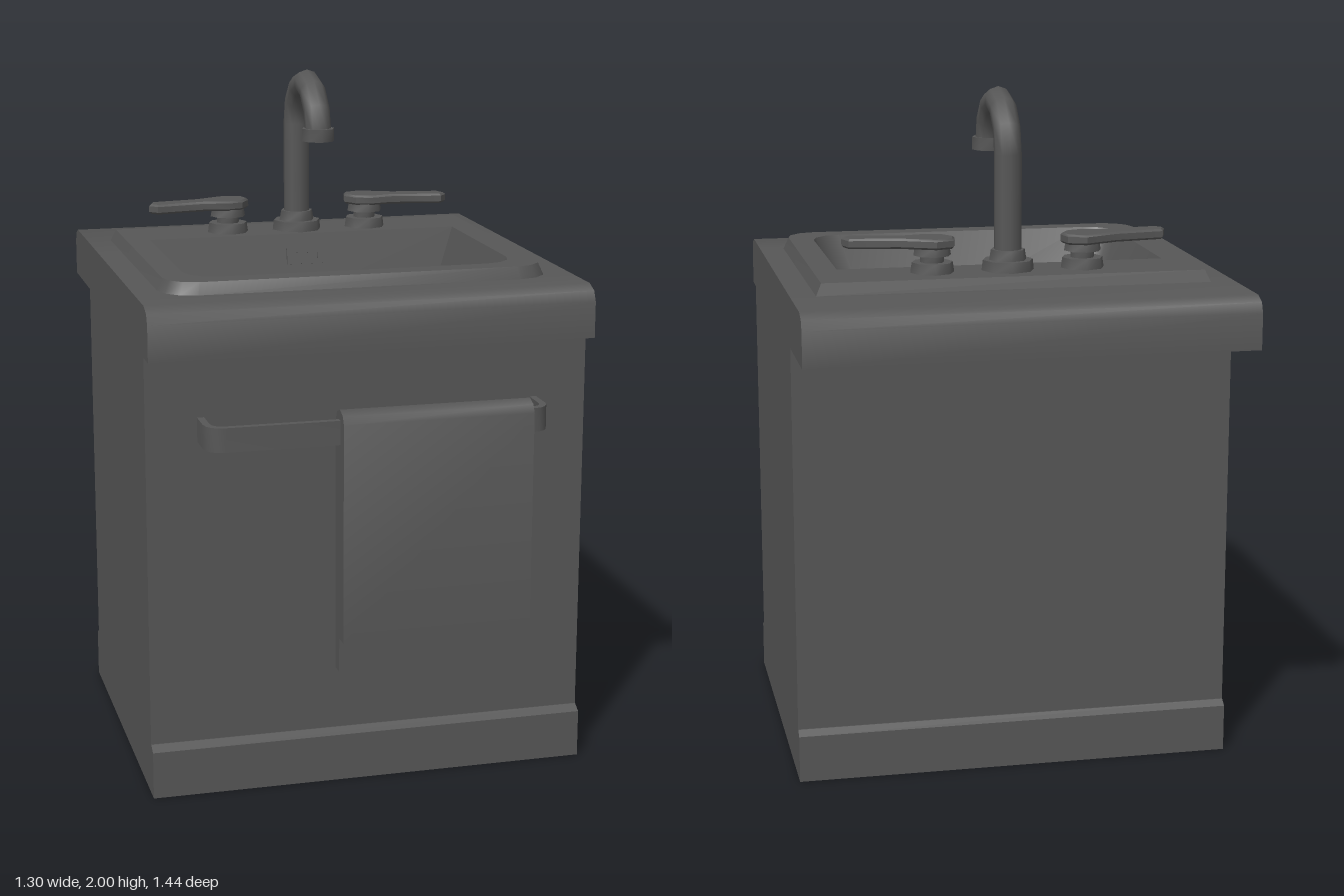
import * as THREE from 'three';
import { toCreasedNormals } from 'three/addons/utils/BufferGeometryUtils.js';

const material = new THREE.MeshStandardMaterial({ color: 0x565656 });

const toShape = pts => new THREE.Shape(pts.map(p => new THREE.Vector2(p[0], p[1])));

// Side profile given as (z, y), extruded from x0 to x1
function extrudeX(pts, x0, x1, crease = 0.9) {
  const g = new THREE.ExtrudeGeometry(toShape(pts), { depth: x1 - x0, bevelEnabled: false });
  return toCreasedNormals(g.rotateY(-Math.PI / 2).translate(x1, 0, 0), crease);
}

// Plan outline given as (x, z), extruded from y0 to y1
function extrudeY(shape, y0, y1, bevel = 0) {
  const g = new THREE.ExtrudeGeometry(shape, {
    depth: y1 - y0 - 2 * bevel, bevelEnabled: bevel > 0, bevelSize: bevel,
    bevelThickness: bevel, bevelOffset: -bevel, bevelSegments: 1, curveSegments: 4
  });
  return toCreasedNormals(g.rotateX(Math.PI / 2).translate(0, y1 - bevel, 0), 0.7);
}

// Horizontal loop with square back corners and rounded front corners
function sinkLoop(x, zBack, zFront, r, y) {
  const pts = [[-x, y, zBack]], n = 3;
  for (const side of [-1, 1]) {
    for (let i = 0; i <= n; i++) {
      const a = (side < 0 ? i : n - i) / n * Math.PI / 2;
      pts.push([side * (x - r + r * Math.cos(a)), y, zFront - r + r * Math.sin(a)]);
    }
  }
  pts.push([x, y, zBack]);
  return pts;
}

// Skin a stack of loops and close the last one with a fan
function loft(loops) {
  const pos = [], n = loops[0].length;
  for (let k = 0; k < loops.length - 1; k++) {
    const p = loops[k], q = loops[k + 1];
    for (let i = 0; i < n; i++) {
      const j = (i + 1) % n;
      pos.push(...p[i], ...p[j], ...q[j], ...p[i], ...q[j], ...q[i]);
    }
  }
  const last = loops[loops.length - 1];
  for (let i = 1; i < n - 1; i++) pos.push(...last[0], ...last[i], ...last[i + 1]);
  const g = new THREE.BufferGeometry();
  g.setAttribute('position', new THREE.Float32BufferAttribute(pos, 3));
  return toCreasedNormals(g, 0.6);
}

export function createModel() {
  const root = new THREE.Group();
  const add = (name, geometry, parent = root) => {
    const m = new THREE.Mesh(geometry, material);
    m.name = name;
    parent.add(m);
    return m;
  };
  // Upright octagonal disc with softly shaded sides
  const disc = (name, x, z, y0, y1, rBottom, rTop = rBottom, parent = root) => {
    const g = new THREE.CylinderGeometry(rTop, rBottom, y1 - y0, 8);
    add(name, toCreasedNormals(g.translate(x, (y0 + y1) / 2, z), 0.9), parent);
  };

  const W = 0.648;

  // Cabinet, open at the top to receive the basin
  const body = new THREE.BoxGeometry(2 * W, 1.3, 0.983).translate(0, 0.65, 0.0585);
  const index = Array.from(body.index.array);
  index.splice(12, 6);
  body.setIndex(index);
  body.clearGroups();
  add('cabinet', body);
  add('plinth', extrudeX([[0.58, 0], [0.58, 0.14], [0.553, 0.155], [-0.436, 0.155],
    [-0.457, 0.14], [-0.457, 0]], -W, W, 0.1));

  // Countertop: rounded front and back strips joined by two side blocks
  const counter = new THREE.Group();
  counter.name = 'countertop';
  root.add(counter);
  add('counterFront', extrudeX([[0.4, 1.3], [0.622, 1.3], [0.622, 1.405], [0.607, 1.435],
    [0.57, 1.45], [0.4, 1.45]], -W, W), counter);
  add('counterBack', extrudeX([[-0.25, 1.3], [-0.25, 1.45], [-0.67, 1.45], [-0.705, 1.435],
    [-0.718, 1.405], [-0.718, 1.3]], -W, W), counter);
  for (const s of [-1, 1]) {
    add('counterSide', new THREE.BoxGeometry(W - 0.5, 0.15, 0.65)
      .translate(s * (W + 0.5) / 2, 1.375, 0.075), counter);
  }

  // Sink: raised rim, sloping walls and floor
  const floorY = 1.16;
  add('sinkBasin', loft([
    sinkLoop(0.575, -0.455, 0.468, 0.1, 1.45),
    sinkLoop(0.559, -0.445, 0.454, 0.09, 1.485),
    sinkLoop(0.487, -0.235, 0.388, 0.09, 1.485),
    sinkLoop(0.367, -0.167, 0.26, 0.075, floorY)
  ]));
  disc('drain', 0, -0.03, floorY - 0.01, floorY + 0.01, 0.08, 0.075);

  // Overflow slot on the back wall
  const slot = toShape([[-0.058, -0.025], [0.058, -0.025], [0.058, 0.025], [-0.058, 0.025]]);
  slot.holes.push(new THREE.Path([[-0.04, -0.01], [-0.04, 0.01], [0.04, 0.01], [0.04, -0.01]]
    .map(p => new THREE.Vector2(...p))));
  const overflow = add('overflow', new THREE.ExtrudeGeometry(slot, { depth: 0.015, bevelEnabled: false }));
  overflow.position.set(0, 1.415, -0.226);
  overflow.rotation.x = -Math.atan2(0.068, 1.485 - floorY);

  // Faucet: stepped foot, stem, gooseneck and nozzle
  const faucet = new THREE.Group();
  faucet.name = 'faucet';
  root.add(faucet);
  const stemZ = -0.327, bend = 0.14;
  disc('faucetFoot', 0, stemZ, 1.48, 1.515, 0.078, 0.074, faucet);
  disc('faucetCollar', 0, stemZ, 1.515, 1.545, 0.055, 0.05, faucet);
  add('stem', new THREE.CylinderGeometry(0.04, 0.04, 0.29, 10, 1, true)
    .translate(0, 1.675, stemZ), faucet);
  add('gooseneck', new THREE.TorusGeometry(bend, 0.04, 10, 6, Math.PI)
    .rotateY(Math.PI / 2).translate(0, 1.82, stemZ + bend), faucet);
  disc('nozzle', 0, stemZ + 2 * bend, 1.8, 1.838, 0.05, 0.05, faucet);

  // Lever handles, mirrored left and right
  const lever = [[0.479, -0.285], [0.456, -0.258], [0.3, -0.285], [0.232, -0.27], [0.183, -0.285],
    [0.156, -0.327], [0.167, -0.376], [0.22, -0.395], [0.32, -0.35], [0.464, -0.327]];
  for (const s of [-1, 1]) {
    const handle = new THREE.Group();
    handle.name = s > 0 ? 'leftHandle' : 'rightHandle';
    root.add(handle);
    disc('handleFoot', s * 0.222, stemZ, 1.48, 1.515, 0.065, 0.06, handle);
    disc('handleNeck', s * 0.222, stemZ, 1.515, 1.54, 0.035, 0.035, handle);
    disc('handleCap', s * 0.222, stemZ, 1.535, 1.565, 0.055, 0.05, handle);
    add('lever', extrudeY(toShape(lever.map(([x, z]) => [s * x, z])), 1.558, 1.588, 0.006), handle);
  }

  // Towel bar: flat strip with rounded corners
  const bar = new THREE.Shape();
  bar.moveTo(-0.5, 0.545).lineTo(-0.5, 0.63).quadraticCurveTo(-0.495, 0.683, -0.445, 0.683)
    .lineTo(0.445, 0.683).quadraticCurveTo(0.495, 0.683, 0.5, 0.63).lineTo(0.5, 0.545)
    .lineTo(0.48, 0.545).lineTo(0.48, 0.625).quadraticCurveTo(0.478, 0.663, 0.44, 0.663)
    .lineTo(-0.44, 0.663).quadraticCurveTo(-0.478, 0.663, -0.48, 0.625).lineTo(-0.48, 0.545);
  add('towelBar', extrudeY(bar, 1.05, 1.12));

  // Towel folded over the bar, longer behind than in front
  add('towel', extrudeX([[0.718, 0.475], [0.718, 1.115], [0.706, 1.138], [0.675, 1.15], [0.642, 1.138],
    [0.628, 1.11], [0.628, 0.373], [0.672, 0.373], [0.672, 0.475]], -0.12, 0.437));

  return root;
}
